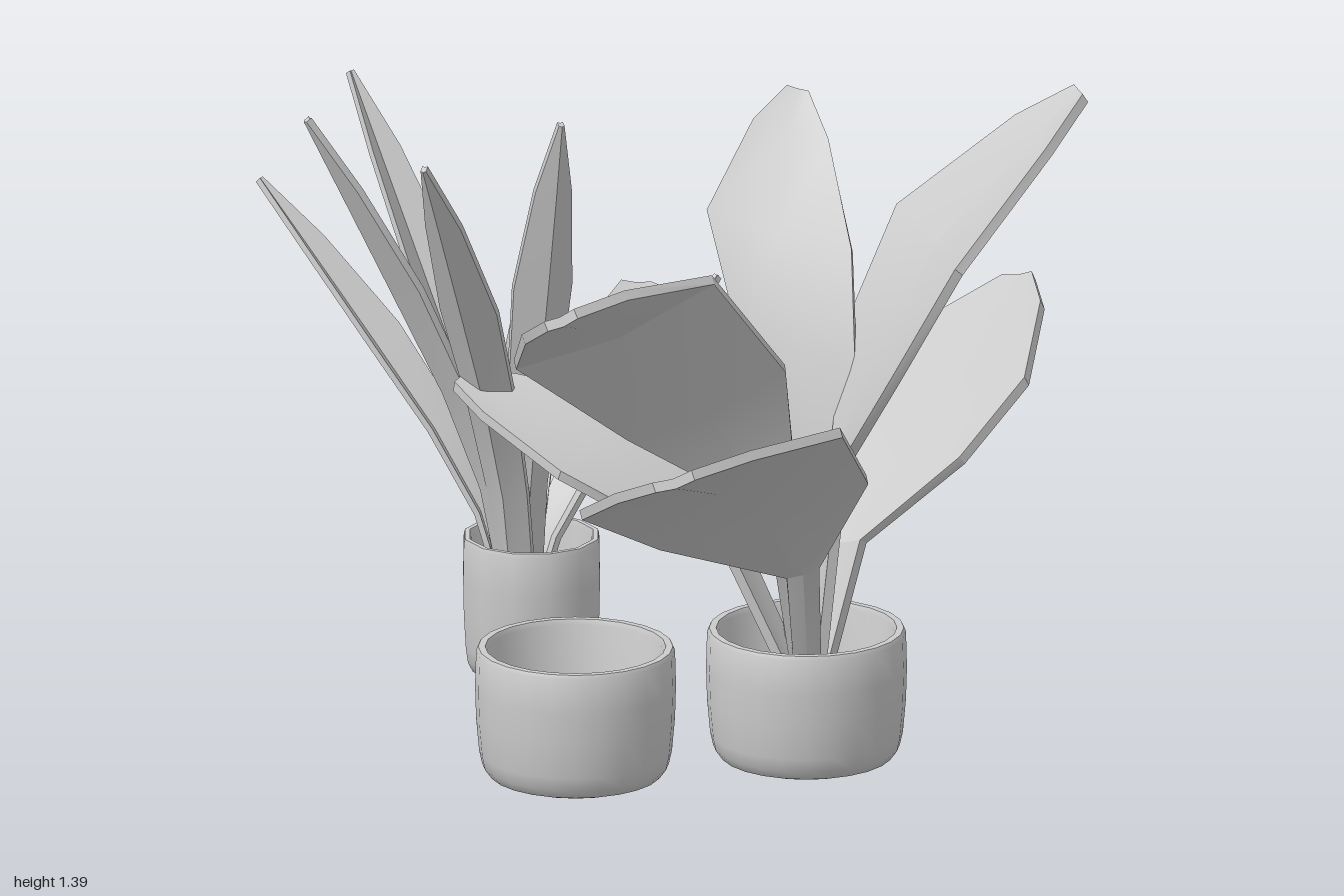
import * as THREE from 'three';
import { toCreasedNormals } from 'three/addons/utils/BufferGeometryUtils.js';

const material = new THREE.MeshStandardMaterial({ color: 0xcccccc });

function part(name, geometry) {
  const mesh = new THREE.Mesh(geometry, material);
  mesh.name = name;
  return mesh;
}

// Hollow pot with a rounded foot and a flat lip
function pot(name, r, h, sides, x, y, z) {
  const profile = [
    [0, 0], [0.74, 0], [0.86, 0.03], [0.93, 0.1], [0.96, 0.2], [0.99, 0.45], [1, 0.7], [0.99, 0.97],
    [0.97, 1], [0.9, 1], [0.88, 0.96], [0.87, 0.45], [0.8, 0.27], [0.66, 0.2], [0, 0.18],
  ].map(([a, b]) => new THREE.Vector2(a * r, b * h));
  const mesh = part(name, toCreasedNormals(new THREE.LatheGeometry(profile, sides), 1));
  mesh.position.set(x, y, z);
  return mesh;
}

// Leaf: a thin folded section swept along points; side = half width vector
function leaf(name, pts, side, widths, fold, thickness) {
  const dirs = pts.map((p, i) => pts[Math.min(i + 1, pts.length - 1)].clone()
    .sub(pts[Math.max(i - 1, 0)]).normalize());
  if (dirs[3].clone().cross(side).y < 0) side.negate();

  const verts = [], index = [];
  const section = [[-1, 0], [0, 0], [1, 0], [1, 1], [0, 1], [-1, 1]];
  pts.forEach((p, i) => {
    const n = dirs[i].clone().cross(side).normalize();
    const depth = fold * widths[i] * side.length();
    for (const [s, low] of section) {
      const drop = (s === 0 ? depth : 0) + low * thickness;
      verts.push(...p.clone().addScaledVector(side, s * widths[i]).addScaledVector(n, -drop));
    }
    if (i === pts.length - 1) return;
    for (let k = 0; k < 6; k++) {
      const a = i * 6 + k, a1 = i * 6 + (k + 1) % 6;
      index.push(a, a + 6, a1, a1, a + 6, a1 + 6);
    }
  });
  // Close both ends
  const e = (pts.length - 1) * 6;
  for (const [a, b, c] of [[0, 1, 4], [0, 4, 5], [1, 2, 3], [1, 3, 4]]) {
    index.push(a, b, c, e + a, e + c, e + b);
  }
  const geometry = new THREE.BufferGeometry();
  geometry.setAttribute('position', new THREE.Float32BufferAttribute(verts, 3));
  geometry.setIndex(index);
  return part(name, toCreasedNormals(geometry, 0.45));
}

// Broad leaf: a curve through the root, stalk, widest point and tip
function broadLeaf(stalk, widest, tip, halfWidth) {
  const through = [[0.15, 0.14, 0.19], stalk, widest, tip].map((p) => new THREE.Vector3(...p));
  const curve = new THREE.CatmullRomCurve3(through);
  const pts = [0, 1 / 3, 0.49, 2 / 3, 0.9, 1].map((t) => curve.getPoint(t));
  const side = new THREE.Vector3(...halfWidth);
  const stem = 0.028 / side.length();
  return leaf('broadLeaf', pts, side, [stem, stem * 1.3, 0.8, 1, 0.52, 0.15], 0.12, 0.022);
}

// Narrow leaf: a folded lance shape bending outward from the root to its tip
function narrowLeaf(x, y, z) {
  const root = new THREE.Vector3(-0.31, 0.18, -0.42);
  const reach = new THREE.Vector3(x, y, z).sub(root);
  const pts = [0, 0.25, 0.45, 0.66, 0.86, 1].map((t) => {
    const out = Math.pow(t, 1.55);
    return new THREE.Vector3(out, t, out).multiply(reach).add(root);
  });
  const side = new THREE.Vector3(-reach.z, 0, reach.x).normalize();
  return leaf('narrowLeaf', pts, side, [0.04, 0.045, 0.055, 0.064, 0.04, 0.006], 0.55, 0.014);
}

export function createModel() {
  const model = new THREE.Group();
  model.name = 'pottedPlants';

  // Empty pot
  model.add(pot('emptyPot', 0.21, 0.285, 24, -0.35, 0, 0.17));

  // Broad-leaved plant
  const broad = new THREE.Group();
  broad.name = 'broadLeafPlant';
  broad.add(
    pot('broadPlantPot', 0.21, 0.285, 24, 0.15, 0, 0.17),
    // front pair
    broadLeaf([0.1, 0.47, 0.32], [-0.2, 0.82, 0.69], [-0.36, 0.905, 0.98], [0.255, 0.1, 0.1]),
    broadLeaf([0.07, 0.6, 0.27], [-0.345, 1.09, 0.45], [-0.54, 1.2, 0.74], [0.19, 0.105, 0.09]),
    // left pair, high and low
    broadLeaf([0.2, 0.65, 0.2], [0.4, 1.13, 0.2], [0.76, 1.39, 0.09], [0, 0, 0.235]),
    broadLeaf([0.25, 0.45, 0.12], [0.49, 0.69, -0.135], [0.77, 0.825, -0.44], [0.16, 0.07, 0.2]),
    // back leaves, high, low and small
    broadLeaf([0.18, 0.6, 0.13], [0.15, 1.09, -0.05], [0.25, 1.325, -0.27], [0.135, -0.03, 0.08]),
    broadLeaf([0.14, 0.48, 0.08], [0.065, 0.74, -0.3], [0, 0.81, -0.64], [0.21, -0.025, 0.02]),
    broadLeaf([0.14, 0.47, 0.08], [0.04, 0.74, -0.2], [-0.08, 0.81, -0.37], [0.055, 0, -0.045]),
    // right back leaf
    broadLeaf([0.02, 0.45, 0.13], [-0.25, 0.67, -0.06], [-0.48, 0.75, -0.28], [0.11, 0.025, -0.15]),
  );
  model.add(broad);

  // Narrow-leaved plant in the small pot
  const narrow = new THREE.Group();
  narrow.name = 'narrowLeafPlant';
  narrow.add(
    pot('narrowPlantPot', 0.148, 0.3, 12, -0.29, 0.05, -0.405),
    narrowLeaf(-0.09, 0.915, -0.99),
    narrowLeaf(-0.56, 1.255, -0.845),
    narrowLeaf(-0.755, 1.035, -0.85),
    narrowLeaf(-0.795, 1.335, -0.31),
    narrowLeaf(-0.635, 1.315, 0.02),
    narrowLeaf(0.165, 0.82, -0.61),
    narrowLeaf(-0.3, 1.335, -0.14),
  );
  model.add(narrow);

  return model;
}
